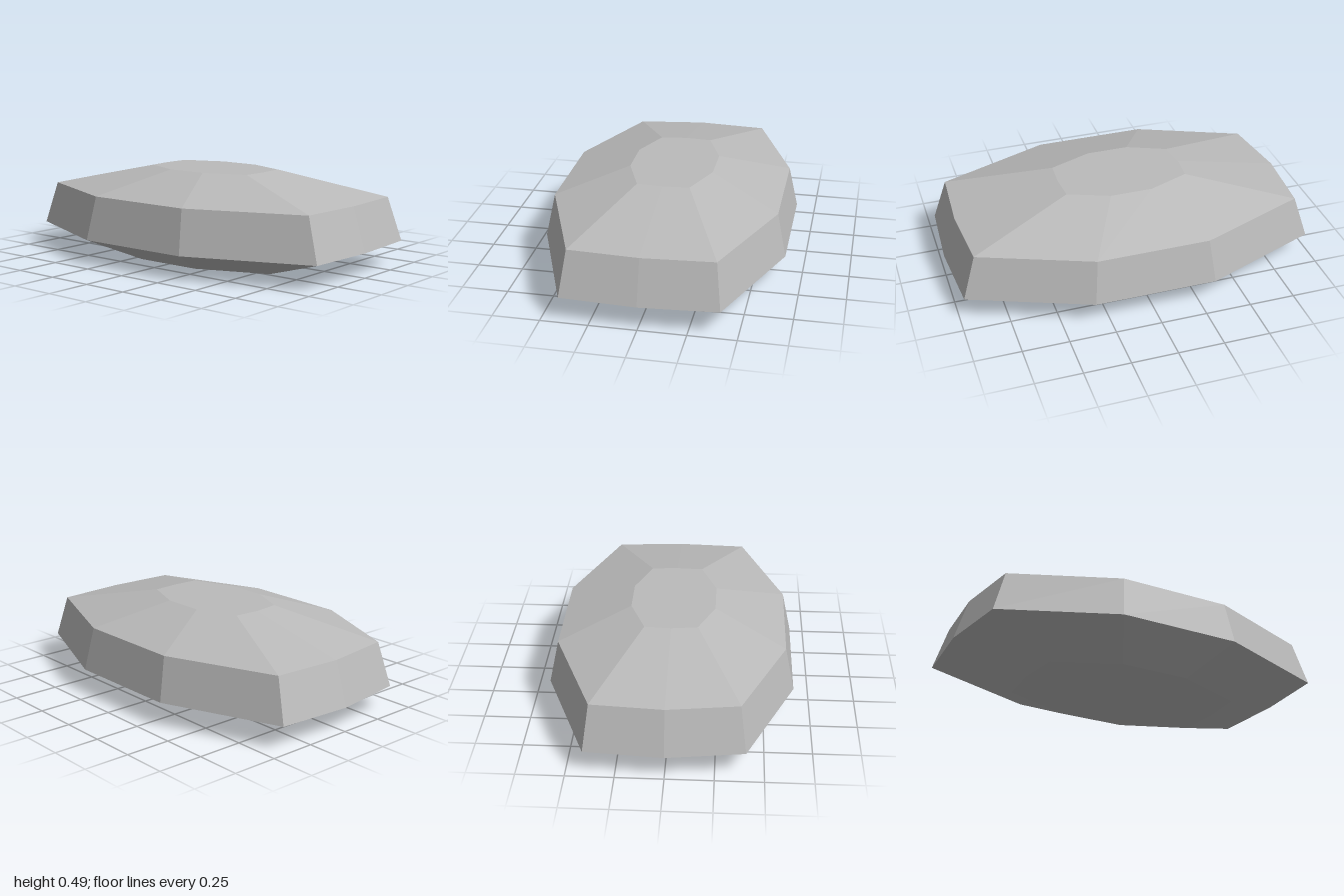
import * as THREE from 'three';

// Ten-sided outline at the widest level [x, z], counter-clockwise from above
const OUTLINE = [
  [1, 0], [0.97, -0.41], [0.33, -0.66], [-0.33, -0.66], [-0.97, -0.41],
  [-1, 0], [-0.945, 0.405], [-0.345, 0.66], [0.315, 0.66], [0.98, 0.405],
];

// Levels from bottom to top: [height, scale of outline]
const LEVELS = [[0, 0.58], [0.13, 1], [0.365, 0.925], [0.49, 0.347]];

// Flat lid over the outline at one level
function capGeometry([y, s], up) {
  const pos = [];
  OUTLINE.forEach((a, i) => {
    const b = OUTLINE[(i + 1) % OUTLINE.length];
    const [p, q] = up ? [a, b] : [b, a];
    pos.push(0, y, 0, p[0] * s, y, p[1] * s, q[0] * s, y, q[1] * s);
  });
  return finish(pos);
}

// Ring of flat facets between two levels
function bandGeometry([y0, s0], [y1, s1]) {
  const pos = [];
  OUTLINE.forEach((a, i) => {
    const b = OUTLINE[(i + 1) % OUTLINE.length];
    const a0 = [a[0] * s0, y0, a[1] * s0], b0 = [b[0] * s0, y0, b[1] * s0];
    const a1 = [a[0] * s1, y1, a[1] * s1], b1 = [b[0] * s1, y1, b[1] * s1];
    pos.push(...a0, ...b0, ...b1, ...a0, ...b1, ...a1);
  });
  return finish(pos);
}

function finish(pos) {
  const g = new THREE.BufferGeometry();
  g.setAttribute('position', new THREE.Float32BufferAttribute(pos, 3));
  g.computeVertexNormals();
  return g;
}

export function createModel() {
  const group = new THREE.Group();
  group.name = 'facetedStone';
  const stone = new THREE.MeshStandardMaterial({ color: 0xbababa, flatShading: true });
  stone.name = 'stone grey';

  const add = (name, geometry) => {
    const mesh = new THREE.Mesh(geometry, stone);
    mesh.name = name;
    group.add(mesh);
  };

  add('base', capGeometry(LEVELS[0], false));
  ['undersideBevel', 'sideWall', 'topBevel'].forEach((name, i) =>
    add(name, bandGeometry(LEVELS[i], LEVELS[i + 1])));
  add('topFace', capGeometry(LEVELS[3], true));
  return group;
}
